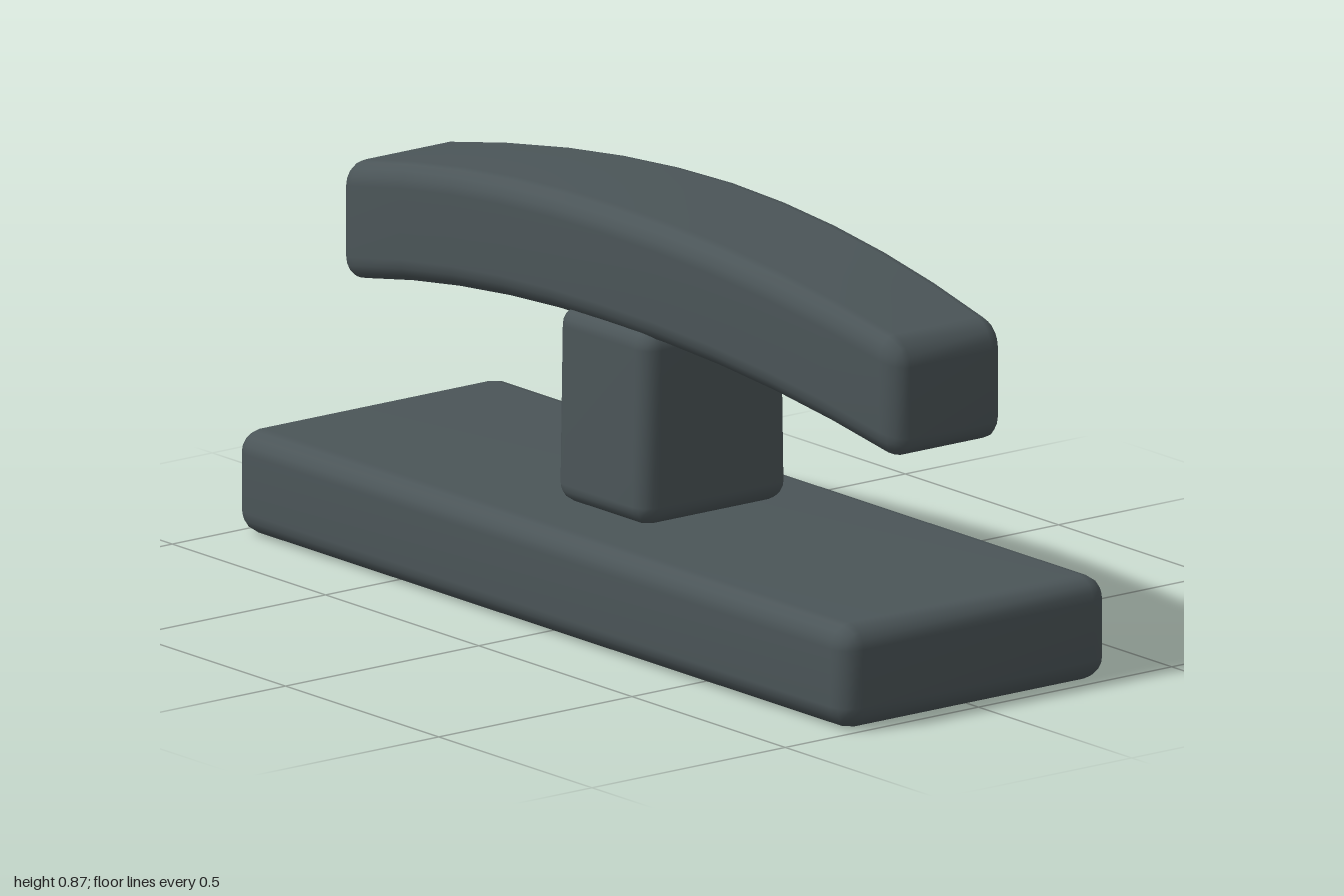
import * as THREE from 'three';
import { mergeVertices } from 'three/addons/utils/BufferGeometryUtils.js';

// Box with softly rounded edges, smooth normals, and an optional vertex rule.
function softBlock(w, h, d, r, spans, rule) {
  const steps = 2; // segments per rounded edge
  const sizes = [w, h, d];
  const counts = spans.map((s) => s + steps * 2);
  let geo = new THREE.BoxGeometry(1, 1, 1, ...counts);
  geo.deleteAttribute('uv');
  geo.deleteAttribute('normal');
  const pos = geo.attributes.position;
  const p = new THREE.Vector3(), core = new THREE.Vector3();
  for (let i = 0; i < pos.count; i++) {
    p.fromBufferAttribute(pos, i);
    for (let a = 0; a < 3; a++) {
      const k = Math.round((p.getComponent(a) + 0.5) * counts[a]);
      const inner = sizes[a] / 2 - r;
      const t = THREE.MathUtils.clamp((k - steps) / spans[a], 0, 1);
      core.setComponent(a, (t * 2 - 1) * inner);
      // position inside the rounded band, from -1 to 1
      const band = k < steps ? (k - steps) / steps
        : k > counts[a] - steps ? (k - counts[a] + steps) / steps : 0;
      p.setComponent(a, Math.tan(band * Math.PI / 4));
    }
    if (p.lengthSq() > 0) p.setLength(r);
    p.add(core);
    if (rule) rule(p);
    pos.setXYZ(i, p.x, p.y, p.z);
  }
  geo = mergeVertices(geo, 1e-5);
  geo.computeVertexNormals();
  return geo;
}

export function createModel() {
  const group = new THREE.Group();
  const slate = new THREE.MeshStandardMaterial({ color: 0x4b5558 });
  slate.name = 'slate grey';

  const add = (name, geo, y) => {
    const mesh = new THREE.Mesh(geo, slate);
    mesh.name = name;
    mesh.position.y = y;
    group.add(mesh);
  };

  // Flat slab at the bottom
  add('base', softBlock(2, 0.218, 0.69, 0.048, [1, 1, 1]), 0.109);

  // Stem, slightly narrower toward the top
  add('post', softBlock(0.3, 0.41, 0.375, 0.04, [1, 1, 1], (p) => {
    p.z *= 1 - p.y * 0.1;
  }), 0.427);

  // Arched grip, tapering in depth toward both ends
  add('handle', softBlock(1.82, 0.25, 0.374, 0.05, [10, 1, 1], (p) => {
    const x = Math.abs(p.x);
    p.z *= 1 - 0.27 * Math.pow(x, 1.5);
    p.y -= 0.125 * x * x;
  }), 0.74);

  return group;
}
